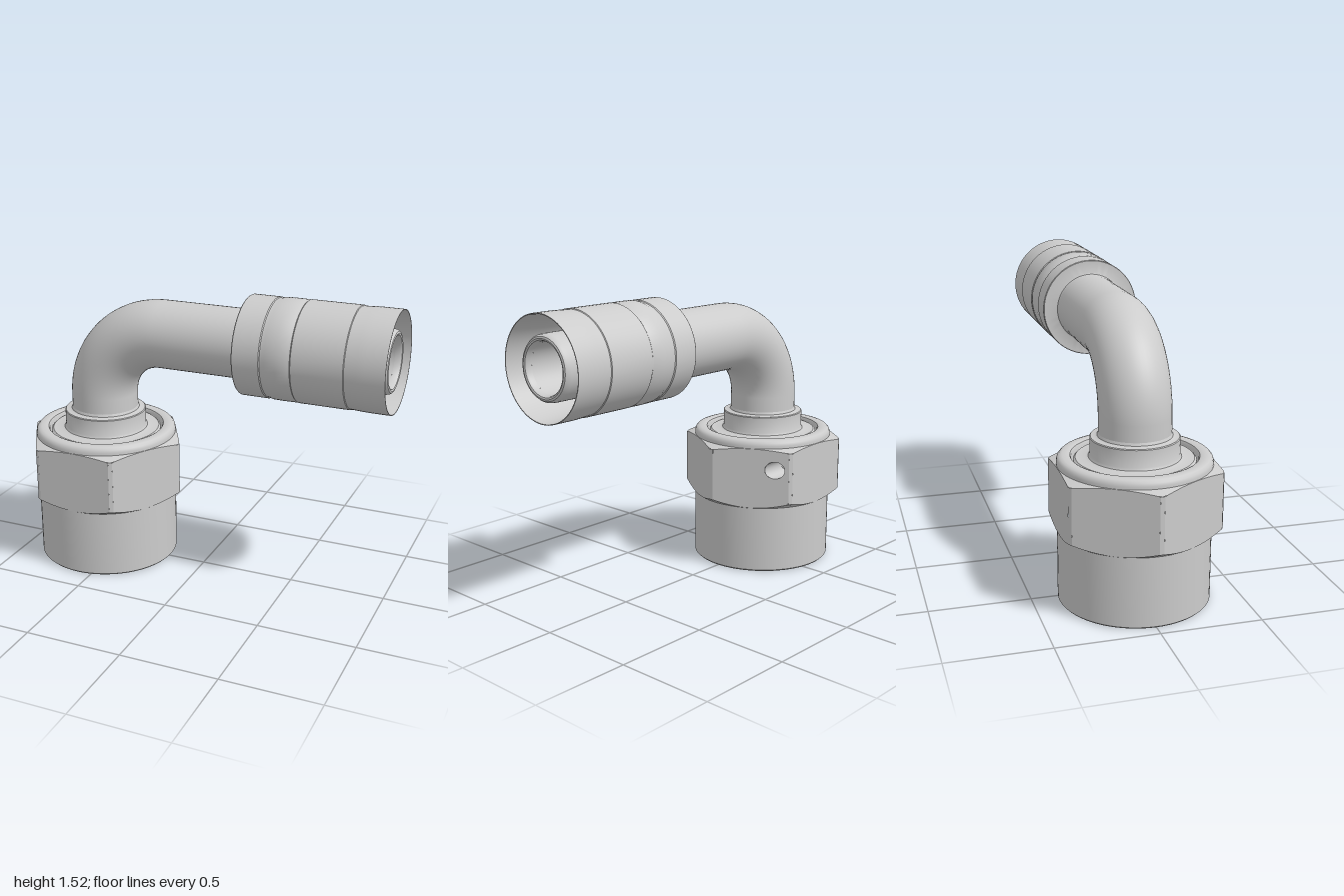
import * as THREE from 'three';
import { toCreasedNormals } from 'three/addons/utils/BufferGeometryUtils.js';

const NUT_X = -0.572;      // axis of nut and vertical tube
const AXIS_Y = 1.265;      // axis of horizontal tube and ferrule
const BEND = 0.35, TUBE_R = 0.175, BORE_R = 0.122;
const BEND_X = NUT_X + BEND, BEND_Y = AXIS_Y - BEND;
const FLAT = 0.376, CORNER = 0.428;   // hexagon flat and corner radii

const grey = new THREE.MeshStandardMaterial({ color: 0xcccccc });
const inside = new THREE.MeshStandardMaterial({ color: 0xcccccc, side: THREE.BackSide });

function add(parent, name, geometry, material = grey) {
  const mesh = new THREE.Mesh(geometry, material);
  mesh.name = name;
  parent.add(mesh);
  return mesh;
}

// Turned part from [radius, height] pairs, outer side upwards
function turned(profile) {
  const points = profile.map(([r, h]) => new THREE.Vector2(r, h));
  return toCreasedNormals(new THREE.LatheGeometry(points, 72), 0.6);
}

// Conical chamfer heights of the hexagon
const topEdge = r => 0.686 - (r - FLAT) * 0.3;
const bottomEdge = r => 0.36 + (r - FLAT) * 0.6;

function hexRadius(theta) {
  const sector = Math.PI / 3;
  const t = ((theta % sector) + sector) % sector;
  return Math.min(CORNER, FLAT / Math.cos(t - sector / 2));
}

// Ring between the round body and the hexagon edge
function chamfer(edge, up) {
  const geo = new THREE.RingGeometry(0.366, 0.5, 120, 1);
  geo.rotateX(up ? -Math.PI / 2 : Math.PI / 2);
  const p = geo.attributes.position;
  for (let i = 0; i < p.count; i++) {
    const x = p.getX(i), z = p.getZ(i), theta = Math.atan2(z, x);
    const r = Math.hypot(x, z) > 0.45 ? hexRadius(theta) : 0.366;
    p.setXYZ(i, r * Math.cos(theta), edge(r), r * Math.sin(theta));
  }
  geo.computeVertexNormals();
  return geo;
}

// One flat of the hexagon with arched edges, optionally drilled
function flatPanel(hole) {
  const half = Math.sqrt(CORNER ** 2 - FLAT ** 2), n = 20;
  const points = [];
  for (let i = 0; i <= n; i++) {
    const u = -half + 2 * half * i / n;
    points.push(new THREE.Vector2(u, bottomEdge(Math.hypot(u, FLAT))));
  }
  for (let i = n; i >= 0; i--) {
    const u = -half + 2 * half * i / n;
    points.push(new THREE.Vector2(u, topEdge(Math.hypot(u, FLAT))));
  }
  const shape = new THREE.Shape(points);
  if (hole) {
    const path = new THREE.Path();
    path.absellipse(0.129, 0.575, 0.053, 0.046, 0, Math.PI * 2, true);
    shape.holes.push(path);
  }
  return new THREE.ShapeGeometry(shape, 24).translate(0, 0, FLAT);
}

function createNut() {
  const nut = new THREE.Group();
  nut.name = 'unionNut';

  // Round collar, bore and lower sleeve
  add(nut, 'nutBody', turned([
    [0.374, 0.675], [0.374, 0.7], [0.37, 0.715], [0.36, 0.726], [0.345, 0.73],
    [0.318, 0.73], [0.308, 0.726], [0.302, 0.715], [0.302, 0.42], [0.312, 0.4],
    [0.312, 0.04], [0.345, 0], [0.365, 0], [0.373, 0.008], [0.373, 0.365],
  ]));

  // Hexagon flats and narrow corner strips
  for (let i = 0; i < 6; i++) {
    const angle = i * Math.PI / 3;
    const drilled = i === 2;
    add(nut, 'hexFlat', flatPanel(drilled)).rotation.y = angle;
    const top = topEdge(CORNER), bottom = bottomEdge(CORNER);
    const strip = new THREE.PlaneGeometry(0.0215, top - bottom);
    strip.translate(0, (top + bottom) / 2, CORNER - 0.0002);
    add(nut, 'hexCorner', strip).rotation.y = angle + Math.PI / 6;
  }
  add(nut, 'topChamfer', chamfer(topEdge, true));
  add(nut, 'bottomChamfer', chamfer(bottomEdge, false));

  // Blind side hole, its mouth slanted to follow the flat
  const hole = new THREE.CylinderGeometry(0.046, 0.046, 0.2, 32);
  hole.rotateZ(-Math.PI / 2).translate(0.22, 0.575, -0.3);
  const p = hole.attributes.position;
  for (let i = 0; i < p.count; i++) {
    if (p.getX(i) > 0.22) p.setX(i, (FLAT + 0.5 * p.getZ(i)) / Math.cos(Math.PI / 6));
  }
  add(nut, 'sideHole', hole, inside);

  nut.position.x = NUT_X;
  return nut;
}

// Open tube run: vertical leg, quarter bend, horizontal leg
function createTube(name, radius, material, startY, endX) {
  const tube = new THREE.Group();
  tube.name = name;
  const leg = length => new THREE.CylinderGeometry(radius, radius, length, 48, 1, true);
  add(tube, name + 'Vertical', leg(BEND_Y - startY), material)
    .position.set(NUT_X, (BEND_Y + startY) / 2, 0);
  const bend = add(tube, name + 'Bend',
    new THREE.TorusGeometry(BEND, radius, 48, 40, Math.PI / 2), material);
  bend.rotation.z = Math.PI / 2;
  bend.position.set(BEND_X, BEND_Y, 0);
  const run = add(tube, name + 'Horizontal', leg(endX - BEND_X), material);
  run.rotation.z = Math.PI / 2;
  run.position.set((endX + BEND_X) / 2, AXIS_Y, 0);
  return tube;
}

export function createModel() {
  const model = new THREE.Group();
  model.name = 'elbowHoseFitting';
  model.add(createNut());

  // Sealing insert held loosely in the nut, with its collar
  add(model, 'insert', turned([
    [BORE_R, 0.42], [0.24, 0.42], [0.293, 0.54], [0.293, 0.705], [0.283, 0.715],
    [0.235, 0.715], [0.222, 0.72], [0.215, 0.732], [0.215, 0.816], [0.211, 0.82],
    [0.19, 0.82], [0.18, 0.825], [0.175, 0.838],
  ])).position.x = NUT_X;

  model.add(createTube('tube', TUBE_R, grey, 0.8, 0.26));
  model.add(createTube('bore', BORE_R, inside, 0.42, 0.95));

  // Crimped ferrule, hollow at the mouth
  const ferrule = add(model, 'ferrule', turned([
    [0.175, 0.235], [0.178, 0.243], [0.185, 0.246], [0.248, 0.246], [0.251, 0.25],
    [0.251, 0.385], [0.247, 0.39], [0.247, 0.4], [0.252, 0.415], [0.253, 0.47],
    [0.252, 0.53], [0.249, 0.535], [0.249, 0.54], [0.253, 0.545], [0.253, 0.8],
    [0.249, 0.803], [0.249, 0.81], [0.252, 0.86], [0.253, 0.9], [0.253, 1],
    [0.249, 1], [0.232, 0.81], [0.232, 0.4], [0.15, 0.4],
  ]));

  // Inner nipple with rounded lip
  const nipple = add(model, 'nipple', turned([
    [0.158, 0.38], [0.158, 0.955], [0.155, 0.972], [0.147, 0.983], [0.138, 0.986],
    [0.13, 0.983], [0.124, 0.973], [BORE_R, 0.95],
  ]));
  for (const part of [ferrule, nipple]) {
    part.rotation.z = -Math.PI / 2;
    part.position.y = AXIS_Y;
  }
  return model;
}
